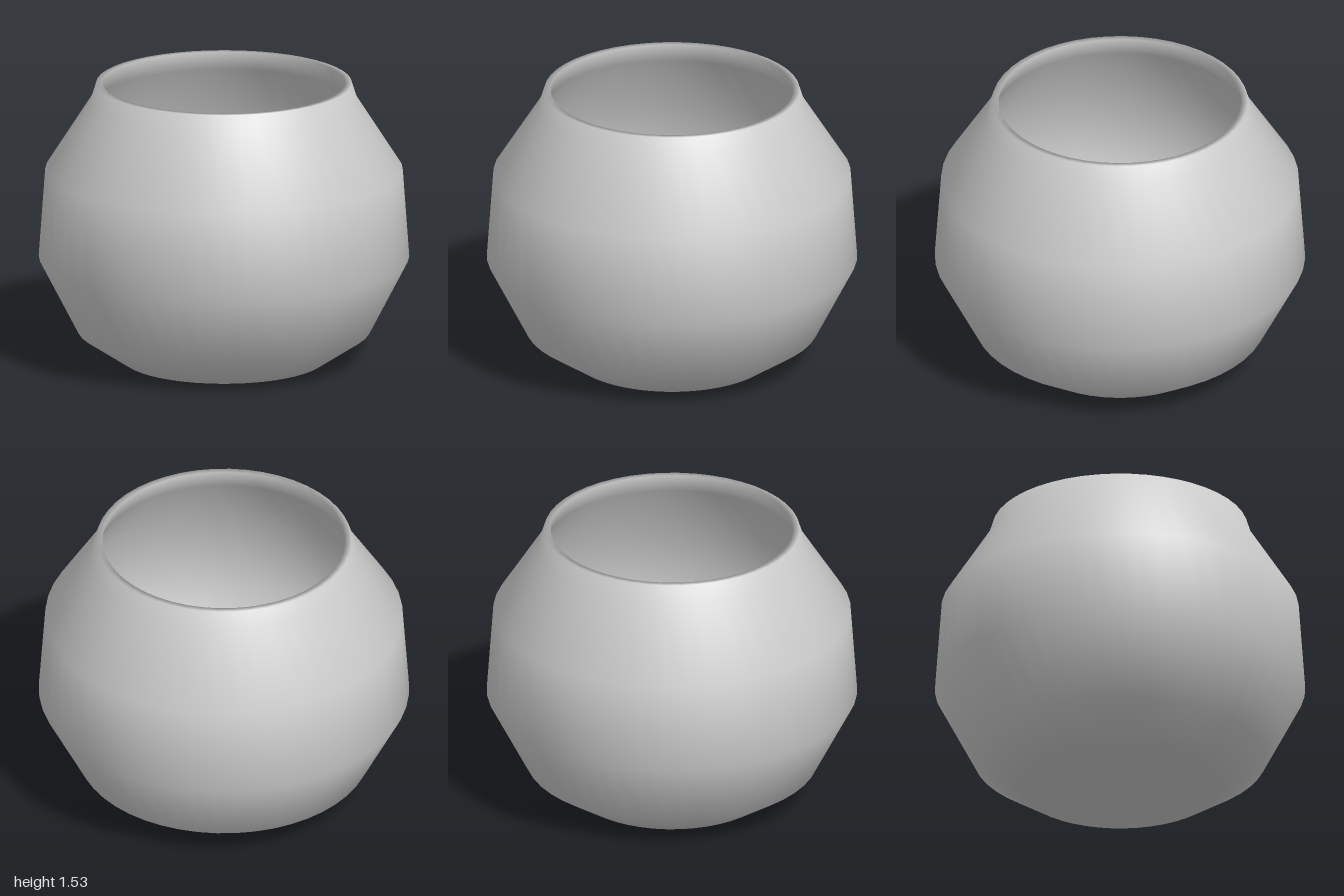
import * as THREE from 'three';

export function createModel() {
  const model = new THREE.Group();
  model.name = 'pot';

  const clay = new THREE.MeshStandardMaterial({ color: 0xcccccc });
  clay.name = 'grey clay';

  // Wall section: outside from the base up, over the rim, then down the inside
  const outside = [[0, 0], [0.55, 0], [0.79, 0.16], [1, 0.57], [0.965, 1.055], [0.72, 1.44], [0.69, 1.535]];
  const inside = [[0.655, 1.535], [0.685, 1.43], [0.93, 1.04], [0.965, 0.58], [0.765, 0.185], [0.54, 0.035], [0, 0.035]];
  const section = [...outside, ...inside].map(([r, y]) => new THREE.Vector2(r, y));

  const bowl = new THREE.Mesh(new THREE.LatheGeometry(section, 48), clay);
  bowl.name = 'bowl';
  model.add(bowl);

  return model;
}
